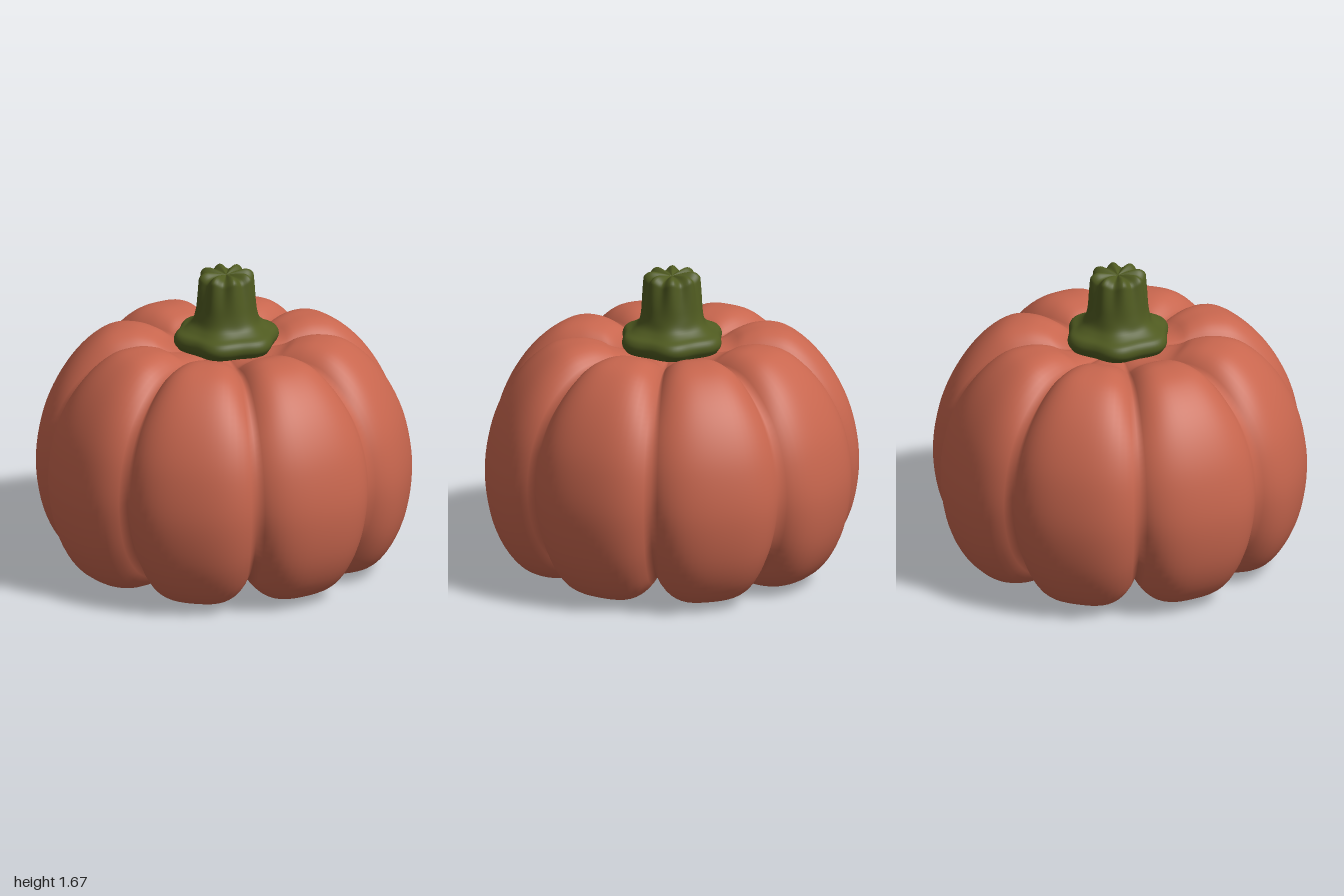
import * as THREE from 'three';

const GROOVE_ANGLE = THREE.MathUtils.degToRad(6);

// Smooth closed surface: point(angle, t) gives [radius, y], t runs from bottom to top.
function ribbedSurface(point, around, rows, start = 0) {
  const positions = [], index = [];
  for (let j = 0; j <= rows; j++) {
    for (let i = 0; i < around; i++) {
      const a = start + (i / around) * Math.PI * 2;
      const [r, y] = point(a, j / rows);
      positions.push(r * Math.cos(a), y, r * Math.sin(a));
    }
  }
  for (let j = 0; j < rows; j++) {
    for (let i = 0; i < around; i++) {
      const a = j * around + i, b = j * around + (i + 1) % around;
      const c = a + around, d = b + around;
      index.push(a, c, b, b, c, d);
    }
  }
  const geometry = new THREE.BufferGeometry();
  geometry.setAttribute('position', new THREE.Float32BufferAttribute(positions, 3));
  geometry.setIndex(index);
  geometry.computeVertexNormals();
  return geometry;
}

const profile = (points) => new THREE.SplineCurve(points.map(([r, y]) => new THREE.Vector2(r, y)));

function createBody() {
  // Outline along the crest of a lobe and along the groove between two lobes
  const crest = profile([
    [0, 0.13], [0.2, 0.1], [0.38, 0.02], [0.56, 0], [0.74, 0.02], [0.88, 0.1], [0.98, 0.29],
    [1.02, 0.55], [0.99, 0.8], [0.915, 1.0], [0.8, 1.17], [0.66, 1.285], [0.52, 1.315],
    [0.4, 1.295], [0.28, 1.24], [0, 1.22],
  ]);
  const groove = profile([
    [0, 0.13], [0.2, 0.13], [0.36, 0.12], [0.52, 0.12], [0.66, 0.15], [0.77, 0.22], [0.88, 0.37],
    [0.935, 0.58], [0.92, 0.79], [0.85, 0.97], [0.74, 1.1], [0.61, 1.19], [0.49, 1.22],
    [0.38, 1.22], [0.28, 1.215], [0, 1.21],
  ]);
  const lobe = Math.PI / 4;
  return ribbedSurface((a, t) => {
    const u = (((a - GROOVE_ANGLE) / lobe) % 1 + 1) % 1;
    const s = Math.min(1, Math.abs(u * 2 - 1));
    // Rounded lobes near the poles, broad flatter ones around the middle
    const w = Math.pow(s, 2.2 + 1.6 * Math.sin(Math.PI * t));
    const p = crest.getPoint(t).lerp(groove.getPoint(t), w);
    return [p.x, p.y];
  }, 160, 75, GROOVE_ANGLE);
}

function createStem() {
  const outline = profile([
    [0, 1.23], [0.22, 1.235], [0.265, 1.26], [0.278, 1.295], [0.262, 1.33], [0.22, 1.352],
    [0.184, 1.385], [0.167, 1.44], [0.157, 1.52], [0.147, 1.6], [0.139, 1.635],
    [0.11, 1.655], [0.06, 1.655], [0, 1.645],
  ]);
  return ribbedSurface((a, t) => {
    const p = outline.getPoint(t);
    // Six-pointed flared foot turning into an eight-ribbed stalk
    const foot = 1 - THREE.MathUtils.smoothstep(t, 0.35, 0.55);
    const ribs = THREE.MathUtils.smoothstep(t, 0.5, 0.75);
    const scale = 1 + 0.05 * foot * Math.cos(6 * a) + 0.07 * ribs * Math.cos(8 * a);
    const bump = 0.012 * ribs * Math.cos(8 * a) * Math.min(1, p.x / 0.1);
    return [p.x * scale, p.y + bump];
  }, 96, 52);
}

export function createModel() {
  const group = new THREE.Group();

  const body = new THREE.Mesh(createBody(), new THREE.MeshStandardMaterial({ color: 0xc8664e }));
  body.name = 'pumpkinBody';

  const stem = new THREE.Mesh(createStem(), new THREE.MeshStandardMaterial({ color: 0x4f5a20 }));
  stem.name = 'stem';
  stem.position.x = 0.013;

  group.add(body, stem);
  return group;
}
